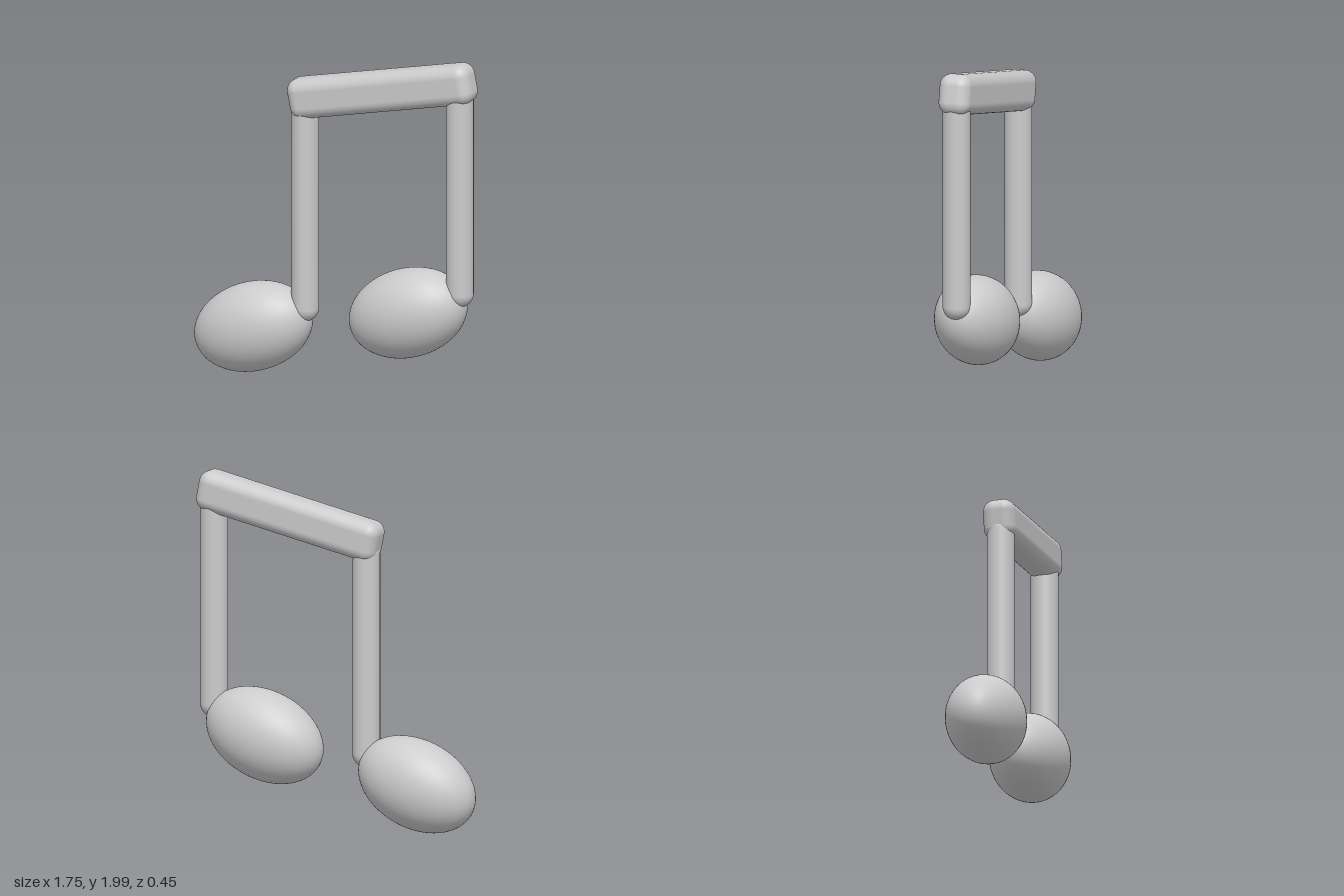
import * as THREE from 'three';
import { RoundedBoxGeometry } from 'three/addons/geometries/RoundedBoxGeometry.js';

export function createModel() {
  const model = new THREE.Group();
  model.name = 'beamedNotes';
  const material = new THREE.MeshStandardMaterial({ color: 0xcccccc });

  const add = (name, geometry, x, y, tilt = 0) => {
    const mesh = new THREE.Mesh(geometry, material);
    mesh.name = name;
    mesh.position.set(x, y, 0);
    mesh.rotation.z = tilt;
    model.add(mesh);
  };

  // Two notes: a tilted egg-shaped head and a round-ended stem each
  const notes = [
    { side: 'right', headX: -0.52, headY: 0.28, stemX: -0.195, bottom: 0.35, top: 1.69 },
    { side: 'left', headX: 0.455, headY: 0.475, stemX: 0.78, bottom: 0.55, top: 1.89 },
  ];
  const radius = 0.08;
  for (const n of notes) {
    const head = new THREE.SphereGeometry(1, 64, 40).scale(0.372, 0.258, 0.225);
    add(n.side + 'Head', head, n.headX, n.headY, 0.356);

    const length = n.top - n.bottom;
    const stem = new THREE.CapsuleGeometry(radius, length - 2 * radius, 12, 40);
    add(n.side + 'Stem', stem, n.stemX, (n.top + n.bottom) / 2);
  }

  // Slanted beam joining the stem tops
  add('beam', new RoundedBoxGeometry(1.167, 0.236, 0.19, 8, 0.07), 0.292, 1.782, 0.198);

  return model;
}
